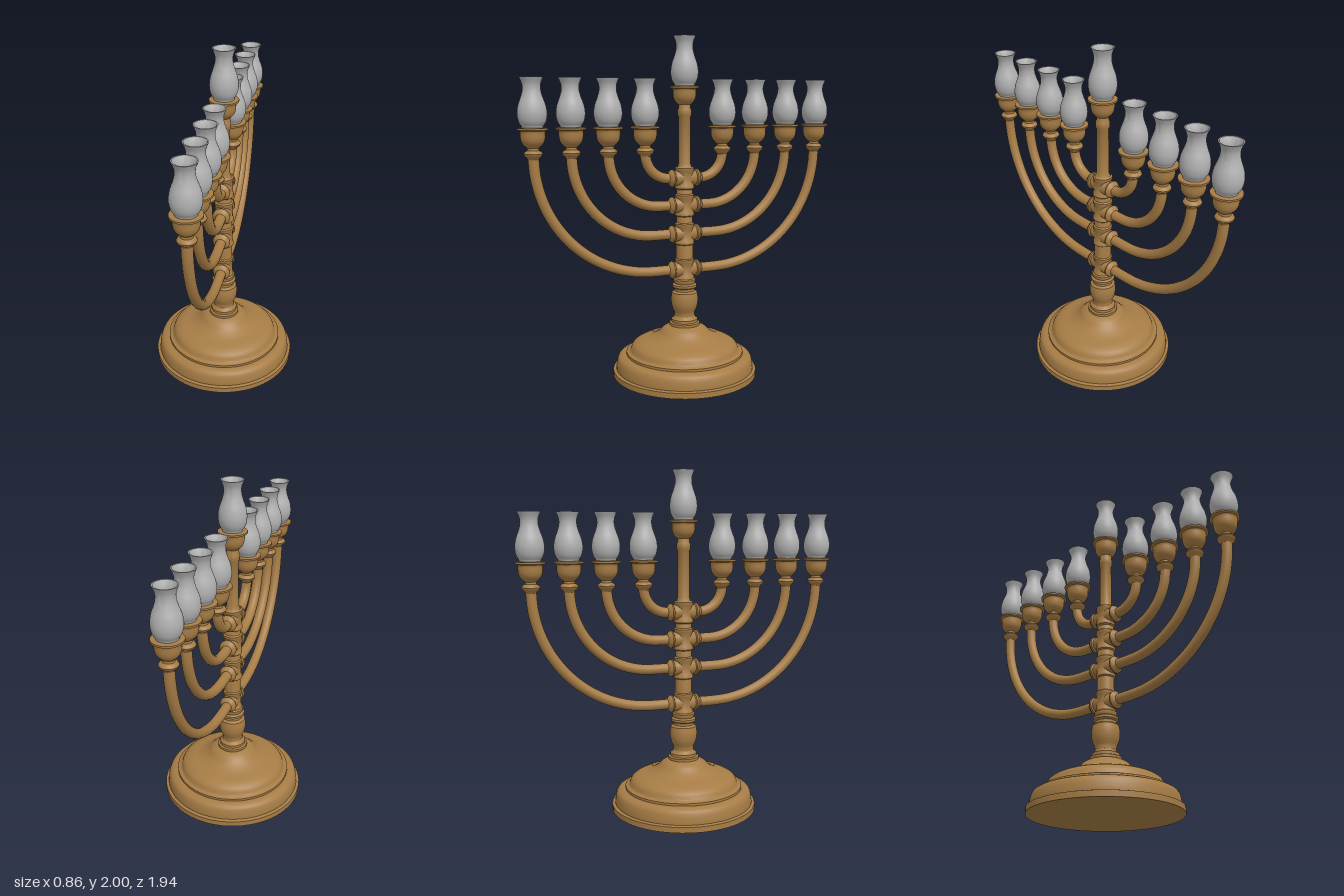
import * as THREE from 'three';
import { toCreasedNormals } from 'three/addons/utils/BufferGeometryUtils.js';

const brass = new THREE.MeshStandardMaterial({ color: 0xa67c45 });
brass.name = 'brass';
const glass = new THREE.MeshStandardMaterial({ color: 0xb0b0b0 });
glass.name = 'frosted glass';

// Turned part from [radius, height] pairs, listed upwards along the outside
function turned(points, segments = 32) {
  const profile = points.map(([r, y]) => new THREE.Vector2(r, y));
  return toCreasedNormals(new THREE.LatheGeometry(profile, segments), 0.7);
}

// Smooth curve through a few profile points
function smooth(points, divisions) {
  const curve = new THREE.SplineCurve(points.map(([r, y]) => new THREE.Vector2(r, y)));
  return curve.getPoints(divisions).map((p) => [p.x, p.y]);
}

function part(name, geometry, material, parent) {
  const mesh = new THREE.Mesh(geometry, material);
  mesh.name = name;
  parent.add(mesh);
  return mesh;
}

export function createModel() {
  const model = new THREE.Group();
  model.name = 'candelabrum';

  // Stepped round foot with a domed top
  part('base', turned([
    [0, 0], [0.43, 0], [0.43, 0.033], [0.412, 0.038],
    ...smooth([[0.412, 0.05], [0.407, 0.085], [0.395, 0.112], [0.37, 0.125]], 8),
    [0.35, 0.126], [0.35, 0.14], [0.33, 0.145],
    ...smooth([[0.325, 0.15], [0.31, 0.183], [0.27, 0.207], [0.21, 0.223],
      [0.16, 0.25], [0.13, 0.28], [0.105, 0.295]], 20),
    [0.09, 0.3], [0.09, 0.315], [0.078, 0.32], [0.078, 0.337], [0.068, 0.343],
    [0.055, 0.37], [0, 0.37],
  ], 64), brass, model);

  // Central column with baluster, rings and slimmer upper shaft
  part('column', turned([
    [0.062, 0.35], [0.06, 0.375],
    ...smooth([[0.064, 0.385], [0.077, 0.42], [0.081, 0.46], [0.076, 0.5]], 10),
    [0.06, 0.51], [0.06, 0.525], [0.073, 0.533], [0.073, 0.547], [0.06, 0.555],
    [0.065, 0.565], [0.065, 0.578], [0.05, 0.59], [0.047, 1.24],
    [0.042, 1.25], [0.035, 1.27], [0.034, 1.54], [0.04, 1.55], [0.04, 1.58],
    [0.035, 1.59], [0.035, 1.63],
  ]), brass, model);

  // Candle cup and lamp chimney, with the cup rim at height 0
  const cupGeometry = turned([
    [0.025, -0.125], [0.03, -0.108], [0.04, -0.1],
    ...smooth([[0.042, -0.098], [0.058, -0.08], [0.066, -0.055], [0.067, -0.022]], 8),
    [0.07, -0.015], [0.083, -0.01], [0.083, 0], [0.068, 0.003], [0, 0.003],
  ]);
  const outside = smooth([[0.058, 0.01], [0.073, 0.035], [0.08, 0.075], [0.074, 0.12],
    [0.058, 0.165], [0.049, 0.2], [0.05, 0.235], [0.064, 0.27]], 24);
  const inside = outside.map(([r, y]) => [r - 0.007, y]).reverse();
  const chimneyGeometry = turned([
    [0, 0.002], [0.057, 0.002], ...outside, ...inside, [0, 0.012],
  ]);

  function lamp(name, y, z) {
    const group = new THREE.Group();
    group.name = name;
    group.position.set(0, y, z);
    part('cup', cupGeometry, brass, group);
    part('chimney', chimneyGeometry, glass, group);
    model.add(group);
    return group;
  }
  lamp('centreLamp', 1.715, 0).children[1].scale.y = 0.285 / 0.27;

  // Ring below each arm cup, and the collar joining each arm to the column
  const ringGeometry = turned([
    [0.029, -0.17], [0.036, -0.158], [0.047, -0.15], [0.051, -0.138],
    [0.045, -0.127], [0.032, -0.12], [0.03, -0.09],
  ], 24);
  const collarGeometry = turned([
    [0.05, 0], [0.045, 0.055], [0.041, 0.066], [0.05, 0.071],
    [0.052, 0.08], [0.046, 0.089], [0.036, 0.096], [0.029, 0.103],
  ], 24);
  const bossGeometry = turned([
    [0.047, -0.068], [0.057, -0.06], [0.057, -0.045], [0.052, -0.038],
    [0.052, 0.038], [0.057, 0.045], [0.057, 0.06], [0.047, 0.068],
  ], 24);

  // Four tiers of curved arms, mirrored front to back: [reach, arm height]
  const top = 1.33;
  const tiers = [[0.885, 0.64], [0.675, 0.855], [0.463, 1.025], [0.244, 1.185]];
  tiers.forEach(([reach, low], i) => {
    part('boss' + (i + 1), bossGeometry, brass, model).position.y = low;
    const radius = top - low;
    const bendZ = reach - radius;
    for (const side of [1, -1]) {
      const points = [new THREE.Vector3(0, low, 0), new THREE.Vector3(0, low, side * bendZ * 0.5)];
      for (let k = 0; k <= 12; k++) {
        const a = (k / 12) * Math.PI / 2;
        points.push(new THREE.Vector3(0, top - radius * Math.cos(a),
          side * (bendZ + radius * Math.sin(a))));
      }
      points.push(new THREE.Vector3(0, top + 0.04, side * reach));
      const path = new THREE.CatmullRomCurve3(points);
      const label = (side > 0 ? 'front' : 'back') + (i + 1);
      part(label + 'Arm', new THREE.TubeGeometry(path, 48, 0.03, 16), brass, model);
      part(label + 'Collar', collarGeometry, brass, model).position.y = low;
      model.children[model.children.length - 1].rotation.x = side * Math.PI / 2;
      const group = lamp(label + 'Lamp', 1.488, side * reach);
      part('ring', ringGeometry, brass, group);
    }
  });

  return model;
}
